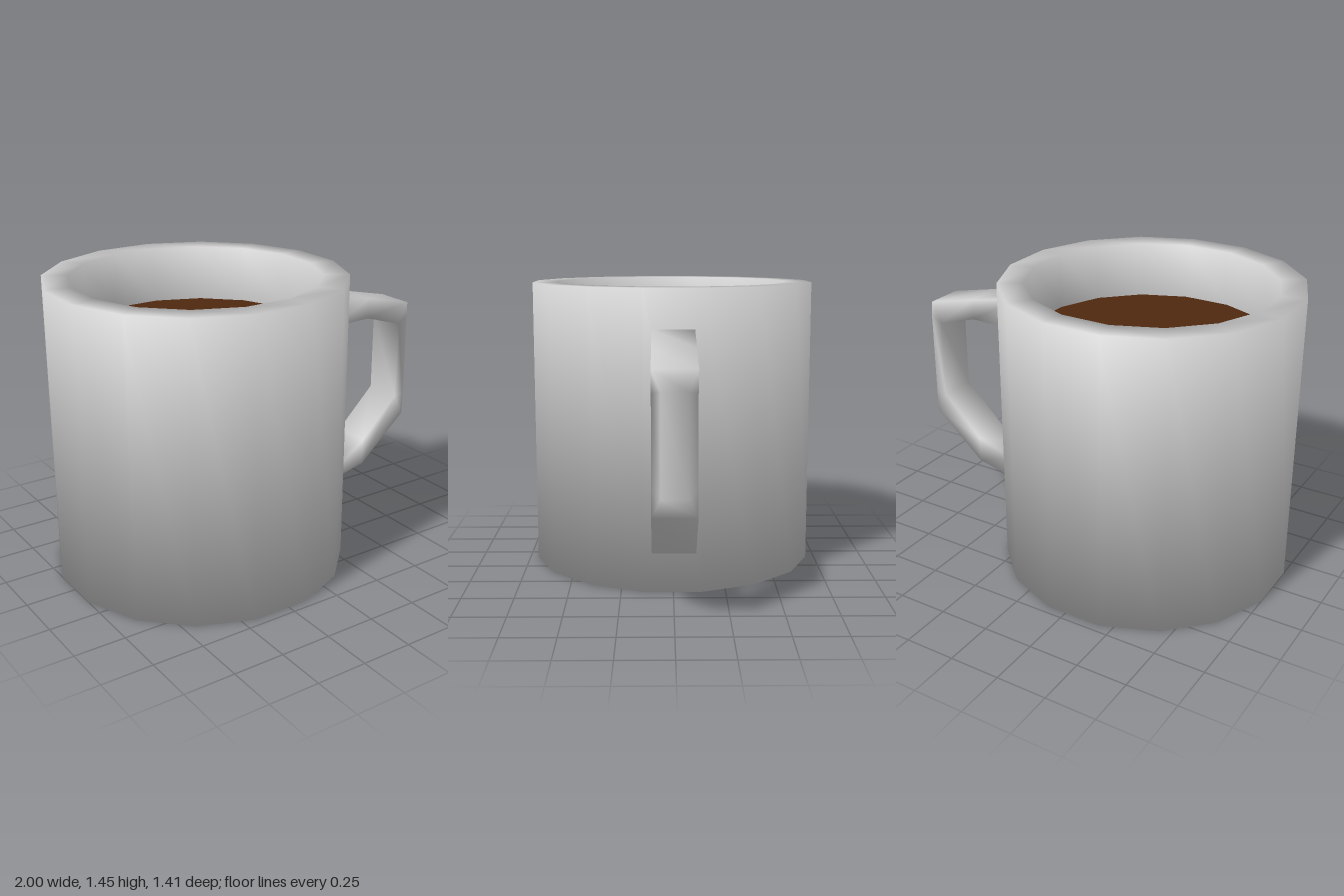
import * as THREE from 'three';

const SIDES = 16;
const CENTRE_X = -0.293;
const TURN = Math.PI / SIDES; // puts a flat side towards each axis
const OUTER = 0.707 / Math.cos(TURN);
const INNER = 0.586 / Math.cos(TURN);
const HEIGHT = 1.445;
const COFFEE_Y = 1.17;

// Turned cup; each profile point is [radius, y, outward normal, upward normal]
function cupGeometry(profile) {
  const points = profile.map(([r, y]) => new THREE.Vector2(r, y));
  const geometry = new THREE.LatheGeometry(points, SIDES, TURN);
  const normals = geometry.attributes.normal;
  const normal = new THREE.Vector3();
  for (let v = 0; v < normals.count; v++) {
    const [, , out, up] = profile[v % profile.length];
    const phi = TURN + Math.floor(v / profile.length) * 2 * TURN;
    normal.set(out * Math.sin(phi), up, out * Math.cos(phi)).normalize();
    normals.setXYZ(v, normal.x, normal.y, normal.z);
  }
  return geometry;
}

// Closed ring of four-cornered sections: [outer x, outer y, outer half width, inner x, inner y]
function ringGeometry(sections, halfWidth) {
  const positions = [];
  const index = [];
  const n = sections.length;
  const lookup = new Map();
  // Corners at the same place are shared so the shading runs smoothly over them
  const vertex = (x, y, z) => {
    const key = `${x},${y},${z}`;
    if (!lookup.has(key)) {
      lookup.set(key, positions.length / 3);
      positions.push(x, y, z);
    }
    return lookup.get(key);
  };
  const rings = sections.map(([ox, oy, w, ix, iy]) => [
    vertex(ox, oy, w), vertex(ox, oy, -w),
    vertex(ix, iy, -halfWidth), vertex(ix, iy, halfWidth),
  ]);
  const tri = (a, b, c) => {
    if (a !== b && b !== c && c !== a) index.push(a, b, c);
  };
  for (let i = 0; i < n; i++) {
    const p = rings[i];
    const q = rings[(i + 1) % n];
    for (let k = 0; k < 4; k++) {
      if (i === n - 1 && k === 0) continue; // the side resting on the cup
      const m = (k + 1) % 4;
      tri(p[k], q[m], p[m]);
      tri(p[k], q[k], q[m]);
    }
  }
  const geometry = new THREE.BufferGeometry();
  geometry.setAttribute('position', new THREE.Float32BufferAttribute(positions, 3));
  geometry.setIndex(index);
  geometry.computeVertexNormals();
  return geometry;
}

export function createModel() {
  const group = new THREE.Group();
  group.name = 'mug';
  const ceramic = new THREE.MeshStandardMaterial({ color: 0xcccccc });
  const brown = new THREE.MeshStandardMaterial({ color: 0x50280f });

  const add = (name, geometry, material) => {
    const mesh = new THREE.Mesh(geometry, material);
    mesh.name = name;
    group.add(mesh);
    return mesh;
  };

  // Cup: base, outer wall, flat rim and inner wall
  add('cup', cupGeometry([
    [0, 0, 0, -1],
    [OUTER, 0, 1, -1],
    [OUTER, HEIGHT, 1, 1],
    [INNER, HEIGHT, -1, 1],
    [INNER, COFFEE_Y, -1, 0],
  ]), ceramic).position.x = CENTRE_X;

  // Coffee surface
  const coffee = new THREE.CircleGeometry(INNER, SIDES, TURN);
  coffee.rotateX(-Math.PI / 2);
  add('coffee', coffee, brown).position.set(CENTRE_X, COFFEE_Y, 0);

  // Handle: angular loop with a backing strip along the cup
  const w = 0.1;
  add('handle', ringGeometry([
    [0.41, 1.255, w, 0.47, 1.09],
    [0.69, 1.2, w, 0.69, 1.095],
    [0.96, 1.14, w, 0.905, 1.03],
    [1.0, 1.05, 0.06, 0.905, 1.03],
    [1.0, 0.6, 0.06, 0.905, 0.62],
    [0.96, 0.51, w, 0.905, 0.62],
    [0.69, 0.275, w, 0.69, 0.41],
    [0.41, 0.21, w, 0.47, 0.345],
  ], w), ceramic);

  return group;
}
